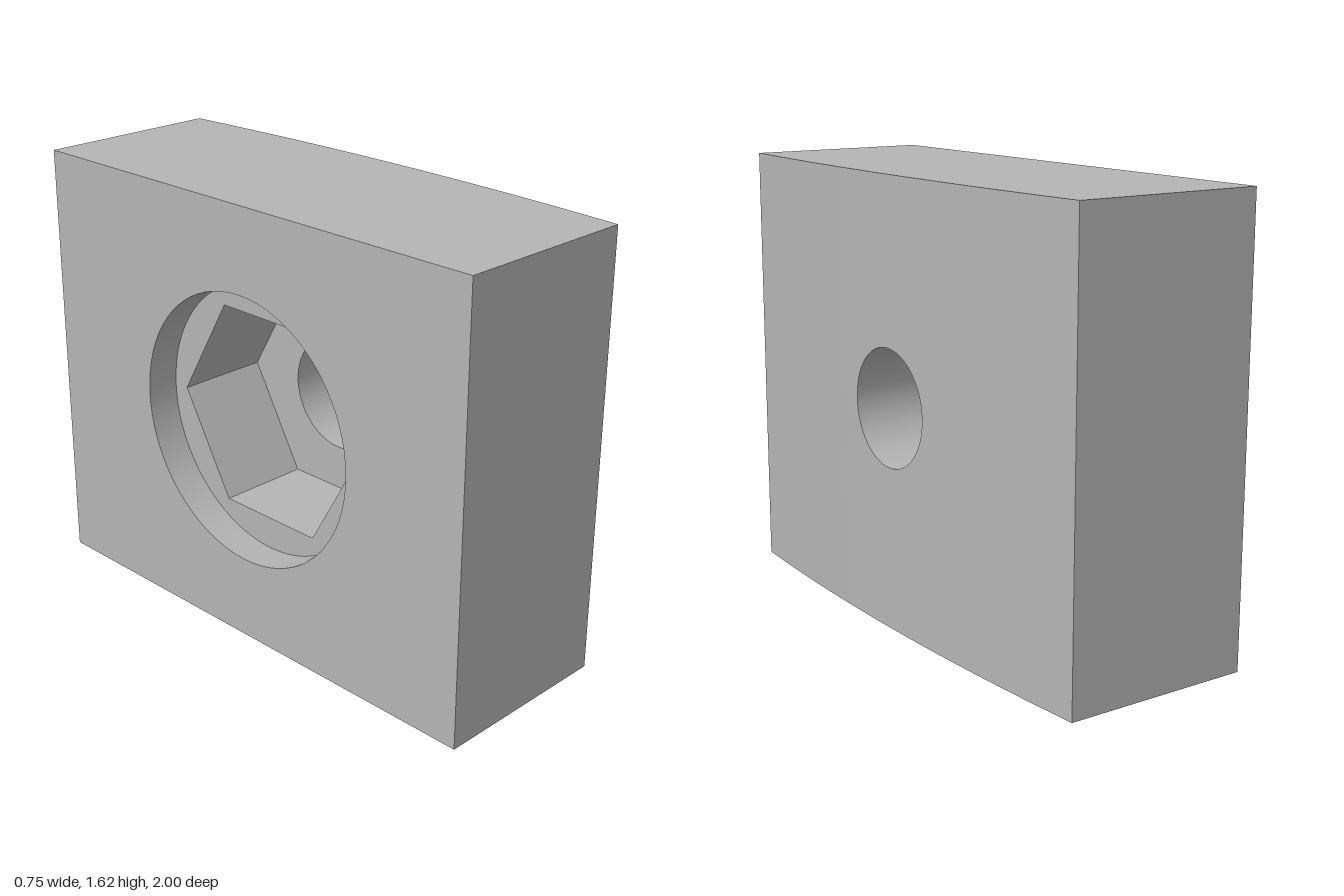
import * as THREE from 'three';
import { toCreasedNormals } from 'three/addons/utils/BufferGeometryUtils.js';

const H = 1.625, CY = H / 2;           // block height and bore axis height
const BACK = -0.373, CROWN = 0.373;    // flat face and highest point of the curved face
const SAG = 0.042;                     // drop of the curved face at its ends
const STEP = BACK + 0.125;             // floor of the round recess
const FLOOR = BACK + 0.478;            // floor of the hexagonal pocket

// Angles around the bore axis: every 5 degrees, plus the block corners
const corner = Math.atan2(CY, 1);
const angles = Array.from({ length: 72 }, (_, i) => (i * Math.PI) / 36)
  .concat([corner, Math.PI - corner, Math.PI + corner, 2 * Math.PI - corner])
  .sort((a, b) => a - b);

// Outlines as radius by angle
const circle = (r) => () => r;
const rect = (a) => Math.min(1 / Math.abs(Math.cos(a)), CY / Math.abs(Math.sin(a)));
const hexagon = (a) => {
  const s = Math.PI / 3;
  return (0.4375 * Math.cos(s / 2)) / Math.cos((a % s) - s / 2);
};
const mix = (f, g, t) => (a) => f(a) + (g(a) - f(a)) * t;

// Depths along x
const flat = (x) => () => x;
const curved = (z) => CROWN - SAG * z * z;

// Skin between successive loops, each given as [outline, depth]
function loft(loops) {
  const pos = [], index = [], n = angles.length;
  for (const [outline, depth] of loops) {
    for (const a of angles) {
      const r = outline(a), z = r * Math.cos(a);
      pos.push(depth(z), CY + r * Math.sin(a), z);
    }
  }
  for (let i = 0; i < loops.length - 1; i++) {
    for (let j = 0; j < n; j++) {
      const k = (j + 1) % n;
      const a = i * n + j, c = i * n + k, b = a + n, d = c + n;
      index.push(a, c, b, b, c, d);
    }
  }
  const g = new THREE.BufferGeometry();
  g.setAttribute('position', new THREE.Float32BufferAttribute(pos, 3));
  g.setIndex(index);
  return toCreasedNormals(g, 0.35);
}

export function createModel() {
  const group = new THREE.Group();
  group.name = 'clampBlock';
  const steel = new THREE.MeshStandardMaterial({ color: 0xb4b4b4 });
  steel.name = 'grey steel';

  const add = (name, loops) => {
    const mesh = new THREE.Mesh(loft(loops), steel);
    mesh.name = name;
    group.add(mesh);
  };

  const bore = circle(0.214), recess = circle(0.5);

  // Gently crowned face around the bore
  const crown = [];
  for (let i = 0; i <= 8; i++) crown.push([mix(bore, rect, i / 8), curved]);
  add('crownedFace', crown);

  // Four straight sides, then the flat face
  add('blockSides', [[rect, curved], [rect, flat(BACK)]]);
  add('flatFace', [[rect, flat(BACK)], [recess, flat(BACK)]]);

  // Round recess with its ledge
  add('roundRecess', [[recess, flat(BACK)], [recess, flat(STEP)], [hexagon, flat(STEP)]]);

  // Hexagonal pocket with its floor
  add('hexPocket', [[hexagon, flat(STEP)], [hexagon, flat(FLOOR)], [bore, flat(FLOOR)]]);

  // Through bore
  add('bore', [[bore, flat(FLOOR)], [bore, curved]]);

  return group;
}
